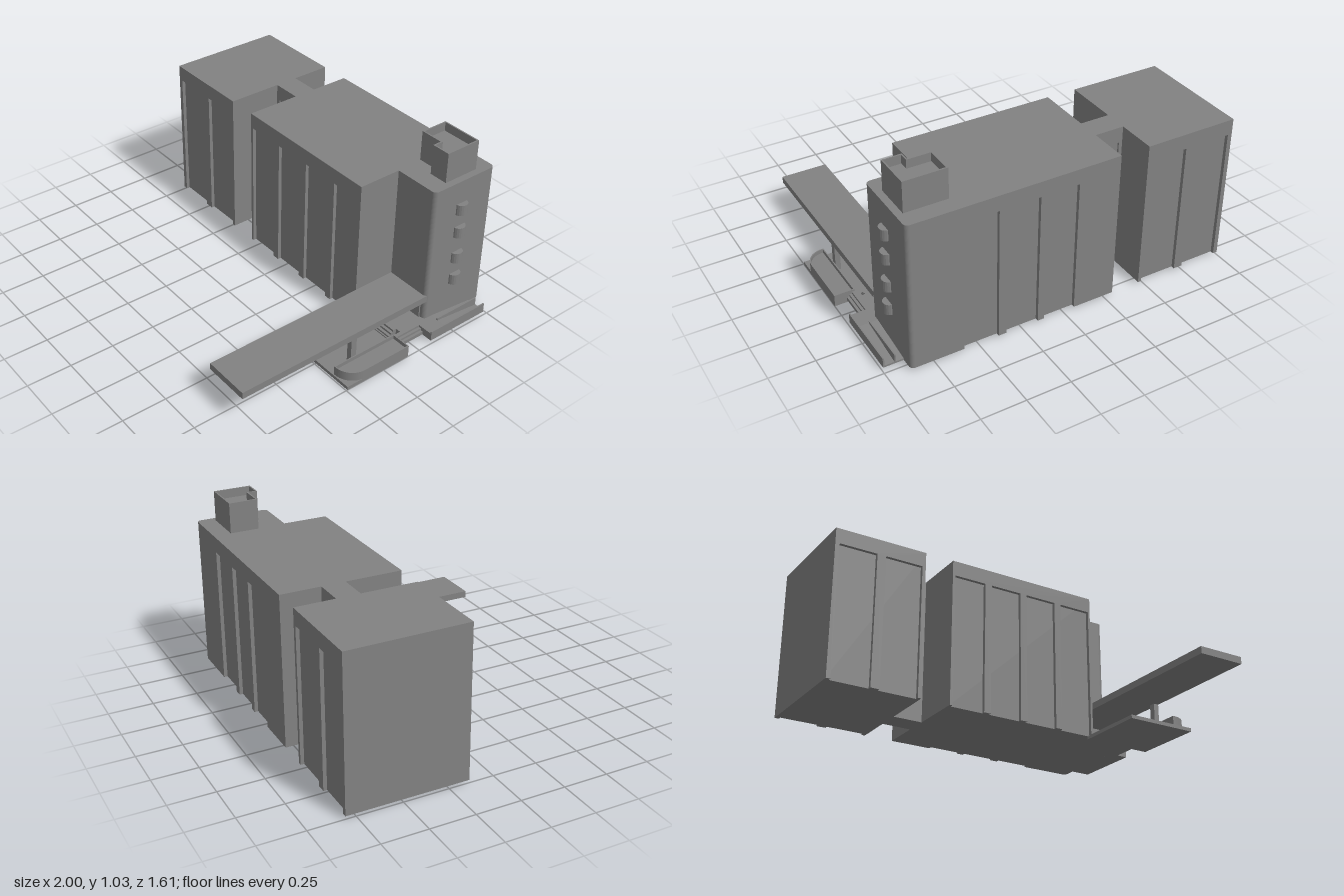
import * as THREE from 'three';

const mat = new THREE.MeshStandardMaterial({ color: 0x828282, flatShading: true, side: THREE.DoubleSide });
const BASE = 0.016, ROOF = 0.863, PANEL_TOP = 0.776, DEPTH = 0.02;
const BACK = -0.805, FRONT = -0.137;

function add(parent, name, geometry) {
  const mesh = new THREE.Mesh(geometry, mat);
  mesh.name = name;
  parent.add(mesh);
  return mesh;
}

// Box given by its limits on each axis
function box(parent, name, x0, x1, y0, y1, z0, z1) {
  const mesh = add(parent, name, new THREE.BoxGeometry(x1 - x0, y1 - y0, z1 - z0));
  mesh.position.set((x0 + x1) / 2, (y0 + y1) / 2, (z0 + z1) / 2);
  return mesh;
}

function polygon(points) {
  return new THREE.Shape(points.map(([x, y]) => new THREE.Vector2(x, y)));
}

// Upright prism from a plan drawn in (x, -z)
function prism(parent, name, shape, y0, y1) {
  const geo = new THREE.ExtrudeGeometry(shape, { depth: y1 - y0, bevelEnabled: false, curveSegments: 8 });
  geo.rotateX(-Math.PI / 2);
  geo.translate(0, y0, 0);
  return add(parent, name, geo);
}

// Wall layer with tall bays cut out down to the ground
function bayWall(parent, name, x0, x1, bays, z) {
  const pts = [[x0, BASE]];
  for (const [a, b] of bays) pts.push([a, BASE], [a, PANEL_TOP], [b, PANEL_TOP], [b, BASE]);
  pts.push([x1, BASE], [x1, ROOF], [x0, ROOF]);
  const geo = new THREE.ExtrudeGeometry(polygon(pts), { depth: DEPTH, bevelEnabled: false });
  add(parent, name, geo).position.z = z;
}

function bayBlock(parent, name, x0, x1, frontBays, backBays) {
  const g = new THREE.Group();
  g.name = name;
  box(g, 'core', x0, x1, BASE, ROOF, BACK + DEPTH, FRONT - DEPTH);
  bayWall(g, 'frontWall', x0, x1, frontBays, FRONT - DEPTH);
  bayWall(g, 'backWall', x0, x1, backBays, BACK);
  parent.add(g);
}

function rectPath(x0, x1, y0, y1) {
  return polygon([[x0, y0], [x0, y1], [x1, y1], [x1, y0]]);
}

export function createModel() {
  const model = new THREE.Group();
  model.name = 'building';

  // Two main blocks with recessed bays
  const wingBays = [[-0.975, -0.757], [-0.706, -0.488]];
  const mainBays = [[-0.284, -0.092], [-0.051, 0.138], [0.179, 0.368], [0.409, 0.602]];
  const backBays = [[-0.06, 0.122], [0.16, 0.345], [0.39, 0.587]];
  bayBlock(model, 'wingBlock', -1, -0.468, wingBays, wingBays);
  bayBlock(model, 'mainBlock', -0.3, 0.615, mainBays, backBays);

  // Link between the blocks, with a stack of windows front and back
  box(model, 'linkCore', -0.468, -0.3, BASE, ROOF, -0.572, -0.46);
  for (const z of [-0.582, -0.46]) {
    const wall = rectPath(-0.468, -0.3, BASE, ROOF);
    for (let i = 0; i < 5; i++) {
      const y = 0.153 + i * 0.1375;
      wall.holes.push(rectPath(-0.448, -0.323, y, y + 0.07));
    }
    add(model, 'linkWindowWall', new THREE.ExtrudeGeometry(wall, { depth: 0.01, bevelEnabled: false })).position.z = z;
  }

  // Stair tower with rounded outer corners
  const r = 0.025, right = 0.882, plan = new THREE.Shape();
  plan.moveTo(0.614, 0.388);
  plan.lineTo(right - r, 0.388);
  plan.absarc(right - r, 0.388 + r, r, -Math.PI / 2, 0, false);
  plan.absarc(right - r, -BACK - r, r, 0, Math.PI / 2, false);
  plan.lineTo(0.614, -BACK);
  prism(model, 'tower', plan, BASE, ROOF);

  // Half-round bay windows on the tower side
  for (const y of [0.255, 0.395, 0.557, 0.698]) {
    const geo = new THREE.CylinderGeometry(0.037, 0.037, 0.062, 20);
    add(model, 'bayWindow', geo).position.set(0.877, y, -0.586);
  }

  // Stepped rooftop room with a parapet
  const outer = [[0.605, 0.546], [0.735, 0.546], [0.735, 0.495], [0.843, 0.495], [0.843, 0.708], [0.605, 0.708]];
  const t = 0.008;
  const inner = [[0.605 + t, 0.546 + t], [0.735 + t, 0.546 + t], [0.735 + t, 0.495 + t],
    [0.843 - t, 0.495 + t], [0.843 - t, 0.708 - t], [0.605 + t, 0.708 - t]];
  prism(model, 'roofRoom', polygon(outer), ROOF, 0.985);
  const parapet = polygon(outer);
  parapet.holes.push(polygon(inner));
  prism(model, 'roofParapet', parapet, 0.985, 1.034);

  // Long entrance canopy with its post
  box(model, 'canopy', 0.615, 0.88, 0.173, 0.212, -0.4, 0.805);
  box(model, 'canopyPost', 0.85, 0.88, BASE, 0.173, 0.085, 0.12);

  // Entrance doors on the two inner walls
  box(model, 'towerDoor', 0.645, 0.85, 0.03, 0.15, -0.39, -0.38);
  box(model, 'sideDoor', 0.61, 0.623, 0.03, 0.155, -0.38, -0.18);

  // Forecourt slab, landing and steps
  box(model, 'forecourt', 0.595, 1, 0, 0.02, -0.165, 0.242);
  box(model, 'landing', 0.614, 0.885, BASE, 0.06, -0.395, -0.22);
  box(model, 'landingFoot', 0.614, 0.885, BASE, 0.026, -0.22, -0.16);
  for (let i = 0; i < 3; i++) {
    const top = 0.06 - i * 0.012;
    box(model, 'sideStep', 0.88, 0.902 + i * 0.0145, BASE, top, -0.337, -0.17);
    box(model, 'frontStep', 0.69, 0.85, BASE, top, -0.23, -0.2 + i * 0.016);
  }

  // Planter with one rounded corner
  const planter = (inset) => {
    const s = new THREE.Shape();
    const a = 0.885 + inset, b = 1 - inset, rad = 0.105 - inset;
    s.moveTo(a, 0.17 - inset);
    s.lineTo(a, -0.235 + inset);
    s.absarc(b - rad, -0.235 + inset + rad, rad, -Math.PI / 2, 0, false);
    s.lineTo(b, 0.17 - inset);
    return s;
  };
  const rim = planter(0);
  rim.holes.push(planter(0.006));
  prism(model, 'planterRim', rim, 0.005, 0.072);
  prism(model, 'planterBed', planter(0.003), 0.005, 0.05);

  // Side ramp with low walls
  const slope = polygon([[0.337, BASE], [0.727, BASE], [0.727, 0.026], [0.44, 0.06], [0.337, 0.06]]);
  const ramp = new THREE.ExtrudeGeometry(slope, { depth: 0.108, bevelEnabled: false });
  ramp.rotateY(Math.PI / 2);
  add(model, 'ramp', ramp).position.x = 0.88;
  box(model, 'rampOuterWall', 0.986, 0.994, BASE, 0.072, -0.727, -0.337);
  box(model, 'rampInnerWall', 0.924, 0.932, BASE, 0.072, -0.727, -0.44);

  return model;
}
